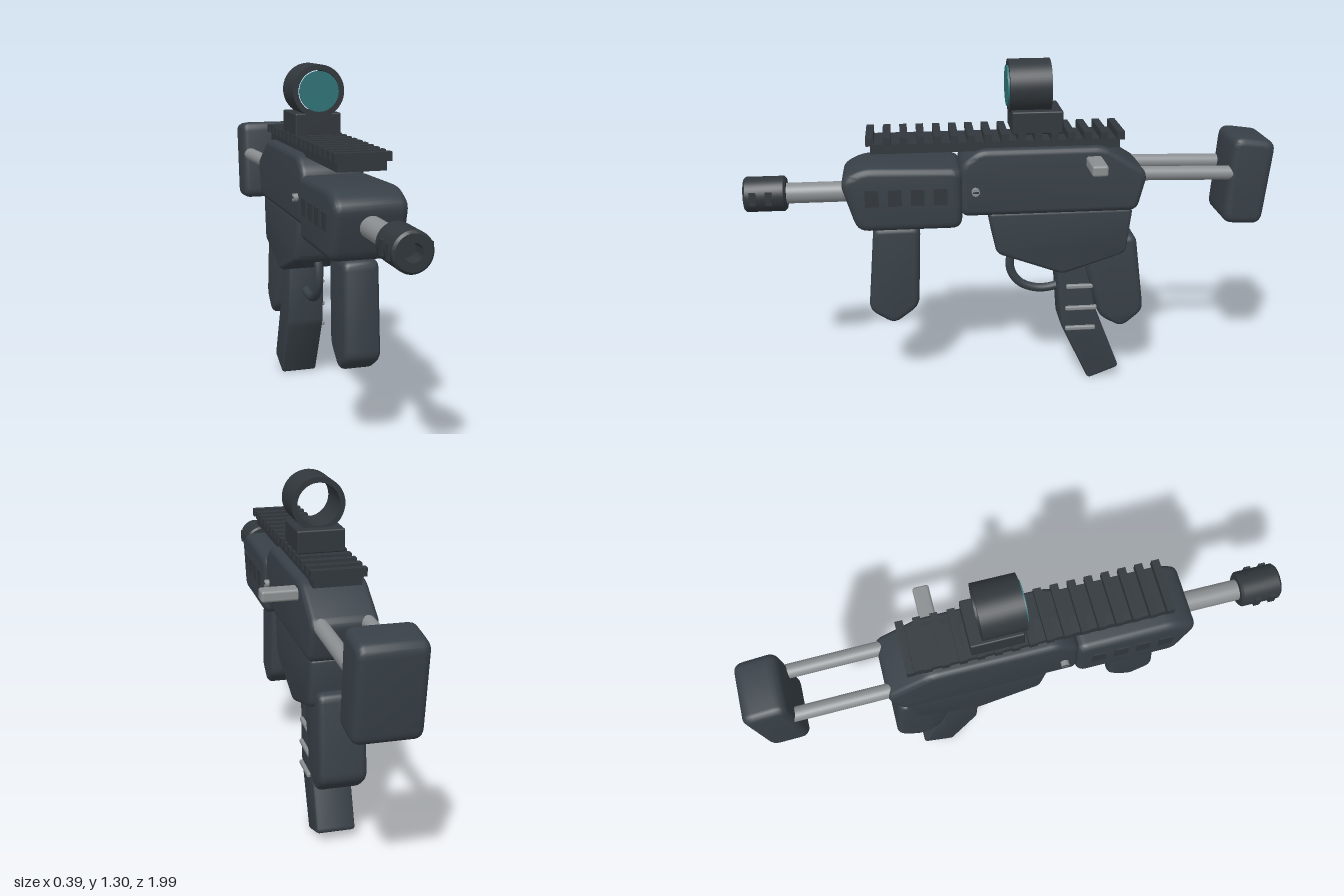
import * as THREE from 'three';
import { toCreasedNormals } from 'three/addons/utils/BufferGeometryUtils.js';
import { RoundedBoxGeometry } from 'three/addons/geometries/RoundedBoxGeometry.js';

const mat = (name, color) => new THREE.MeshStandardMaterial({ name, color });

export function createModel() {
  const body = mat('slate body', 0x384047);
  const dark = mat('dark fittings', 0x31373c);
  const steel = mat('steel', 0x8a8e90);
  const glass = mat('teal lens', 0x2f7378);

  const model = new THREE.Group();
  const gun = new THREE.Group();
  gun.name = 'bodyAxis';
  gun.position.x = -0.056;
  model.add(gun);

  const add = (name, geo, material, x = 0, y = 0, z = 0) => {
    const m = new THREE.Mesh(geo, material);
    m.name = name;
    m.position.set(x, y, z);
    gun.add(m);
    return m;
  };

  // Side profile in (z, y) with softened corners, extruded across x with rounded edges
  const slab = (name, pts, width, bevel, material) => {
    const v = pts.map(p => new THREE.Vector2(...p));
    const shape = new THREE.Shape();
    v.forEach((p, i) => {
      const prev = v[(i + v.length - 1) % v.length], next = v[(i + 1) % v.length];
      const cut = q => p.clone().add(q.clone().sub(p).setLength(Math.min(bevel * 1.5, p.distanceTo(q) * 0.45)));
      const a = cut(prev), b = cut(next);
      if (i) shape.lineTo(a.x, a.y); else shape.moveTo(a.x, a.y);
      shape.quadraticCurveTo(p.x, p.y, b.x, b.y);
    });
    shape.closePath();
    const geo = new THREE.ExtrudeGeometry(shape, {
      depth: width - 2 * bevel, bevelThickness: bevel, bevelSize: bevel,
      bevelOffset: -bevel, bevelSegments: 4, curveSegments: 5
    });
    geo.translate(0, 0, -(width - 2 * bevel) / 2);
    geo.rotateY(-Math.PI / 2);
    return add(name, toCreasedNormals(geo, 0.6), material);
  };

  // Lathe around the z axis from (radius, z) points
  const turned = (name, pts, material, y, z, seg = 40) => {
    const geo = new THREE.LatheGeometry(pts.map(p => new THREE.Vector2(...p)), seg);
    geo.rotateX(Math.PI / 2);
    return add(name, toCreasedNormals(geo, 0.6), material, 0, y, z);
  };

  // Main housings
  slab('receiver', [[0.2, 0.735], [0.2, 0.935], [0.13, 0.99], [-0.34, 0.99], [-0.508, 0.885], [-0.47, 0.735]], 0.24, 0.022, body);
  slab('handguard', [[0.585, 0.69], [0.645, 0.89], [0.56, 0.935], [0.19, 0.925], [0.195, 0.69]], 0.255, 0.028, body);
  slab('lowerReceiver', [[0.098, 0.745], [0.066, 0.575], [-0.19, 0.48], [-0.435, 0.56], [-0.457, 0.745]], 0.217, 0.016, body);

  // Grips, magazine and shoulder pad
  slab('foregrip', [[0.53, 0.68], [0.352, 0.68], [0.366, 0.35], [0.465, 0.277], [0.56, 0.34]], 0.127, 0.022, body);
  slab('rearGrip', [[-0.26, 0.56], [-0.41, 0.615], [-0.48, 0.622], [-0.522, 0.3], [-0.437, 0.228], [-0.345, 0.28]], 0.172, 0.022, body);
  slab('magazine', [[-0.17, 0.52], [-0.295, 0.52], [-0.33, 0.31], [-0.432, 0.048], [-0.307, 0], [-0.19, 0.25]], 0.145, 0.011, body);
  slab('shoulderPad', [[-0.835, 1.01], [-0.998, 0.988], [-0.965, 0.657], [-0.81, 0.667]], 0.228, 0.028, body);

  // Magazine ribs on the left side
  [[-0.262, 0.415, 0.105], [-0.27, 0.322, 0.125], [-0.268, 0.235, 0.12]].forEach(([z, y, len]) =>
    add('magazineRib', new RoundedBoxGeometry(0.02, 0.017, len, 2, 0.005), steel, 0.075, y, z));

  // Trigger guard loop
  const guard = new THREE.CatmullRomCurve3(
    [[0.6, -0.025], [0.54, 0], [0.47, 0.003], [0.415, -0.03], [0.388, -0.085], [0.384, -0.14], [0.4, -0.21]]
      .map(([y, z]) => new THREE.Vector3(0, y, z)));
  add('triggerGuard', new THREE.TubeGeometry(guard, 32, 0.017, 12), body);

  // Barrel and muzzle with open bore
  const barrel = new THREE.CylinderGeometry(0.039, 0.039, 0.3, 32);
  barrel.rotateX(Math.PI / 2);
  add('barrel', barrel, steel, 0, 0.814, 0.73);
  turned('muzzle', [[0, 0], [0.058, 0], [0.066, 0.008], [0.066, 0.147], [0.058, 0.155], [0.03, 0.155], [0.03, 0.09], [0, 0.09]], dark, 0.814, 0.845);

  // Paired side details
  for (const s of [-1, 1]) {
    for (const z of [0.964, 0.906])
      add('muzzleSlot', new THREE.BoxGeometry(0.02, 0.05, 0.024), dark, s * 0.06, 0.814, z);
    for (let i = 0; i < 4; i++)
      add('handguardVent', new THREE.BoxGeometry(0.012, 0.062, 0.05), dark, s * 0.1275, 0.822, 0.527 - i * 0.084);
    const pin = new THREE.CylinderGeometry(0.015, 0.015, 0.03, 20);
    pin.rotateZ(Math.PI / 2);
    add('pin', pin, steel, s * 0.122, 0.835, 0.145);
    add('pinSlot', new THREE.BoxGeometry(0.002, 0.006, 0.022), dark, s * 0.137, 0.835, 0.145);
    const rod = new THREE.CylinderGeometry(0.027, 0.027, 0.4, 24);
    rod.rotateX(Math.PI / 2 - 0.025);
    add('stockRod', rod, steel, s * 0.082, 0.869, -0.66);
  }

  // Charging handle
  add('chargingHandle', new RoundedBoxGeometry(0.17, 0.042, 0.06, 3, 0.01), steel, 0.164, 0.936, -0.298);

  // Top rail with teeth
  add('railBase', new THREE.BoxGeometry(0.172, 0.035, 0.925), dark, 0, 0.997, 0.063);
  for (let i = 0; i < 16; i++)
    add('railTooth', new THREE.BoxGeometry(0.198, 0.031, 0.028), dark, 0, 1.028, 0.527 - i * 0.0618);

  // Sight: mount, hollow tube and lens
  add('sightMount', new RoundedBoxGeometry(0.176, 0.085, 0.19, 2, 0.006), dark, 0, 1.08, -0.09);
  turned('sightTube', [[0.078, 0], [0.098, 0], [0.098, 0.155], [0.078, 0.155], [0.078, 0]], dark, 1.204, -0.143, 48);
  const rim = new THREE.CylinderGeometry(0.075, 0.075, 0.009, 40, 1, true);
  rim.rotateX(Math.PI / 2);
  add('lensRim', rim, glass, 0, 1.204, 0.0145);
  add('lens', new THREE.CircleGeometry(0.075, 40), glass, 0, 1.204, 0.019);

  return model;
}
